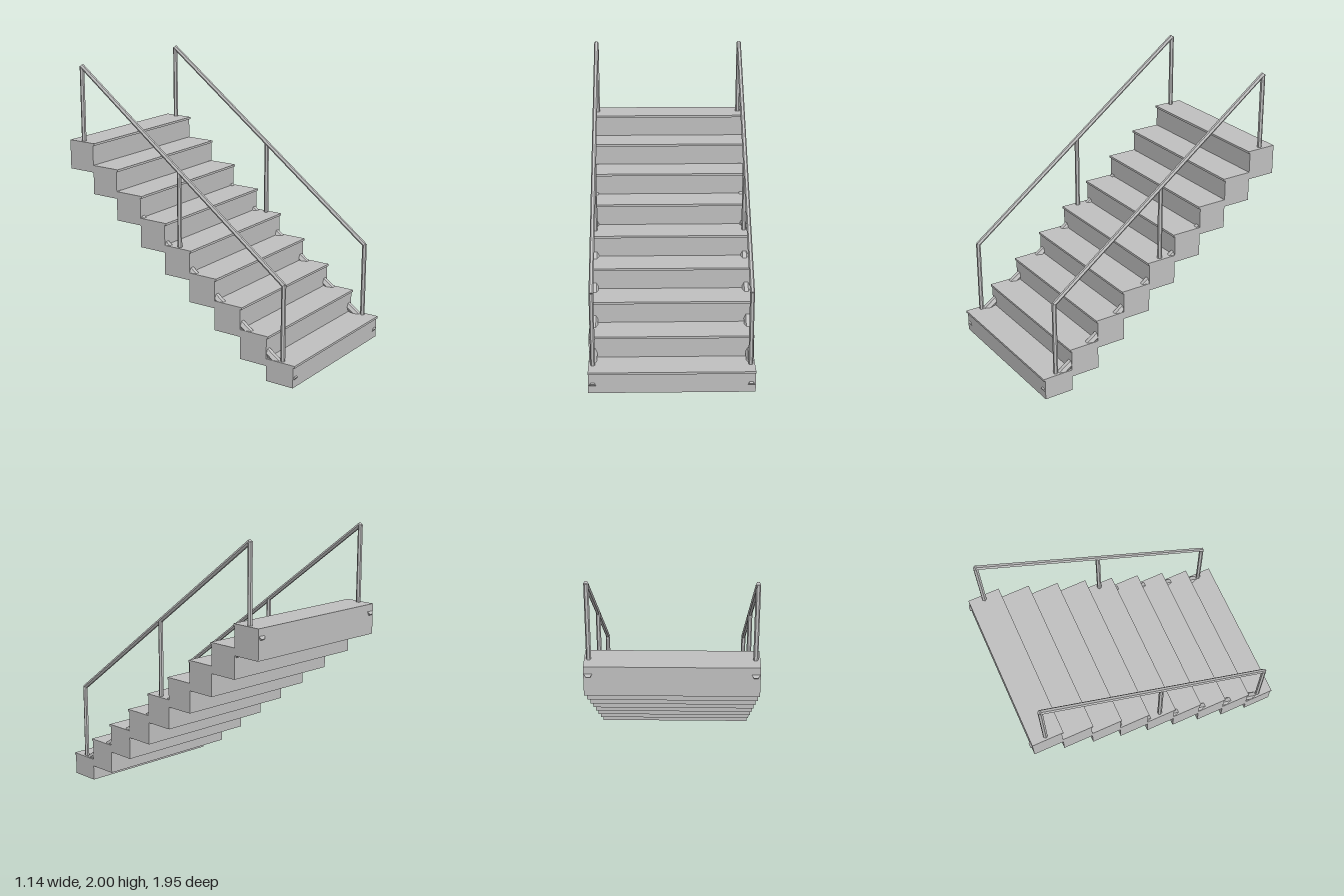
import * as THREE from 'three';

const STEPS = 9, RUN = 0.2135, RISE = 0.1605, WIDTH = 1.14, FRONT = 0.96;
const LIP = 0.016, NOSE = 0.012, SIDE_X = 0.54;

export function createModel() {
  const model = new THREE.Group();
  model.name = 'staircase';
  const grey = new THREE.MeshStandardMaterial({ color: 0xc0c0c0 });
  grey.name = 'grey';

  const add = (parent, name, geometry) => {
    const mesh = new THREE.Mesh(geometry, grey);
    mesh.name = name;
    parent.add(mesh);
    return mesh;
  };

  // Box given by its y and z limits, spanning the full width
  const slab = (parent, name, y0, y1, z0, z1) =>
    add(parent, name, new THREE.BoxGeometry(WIDTH, y1 - y0, z1 - z0))
      .position.set(0, (y0 + y1) / 2, (z0 + z1) / 2);

  // Six-sided bar between two [y, z] points, with corners pointing sideways
  const bar = (parent, name, x, [y0, z0], [y1, z1], radius) => {
    const length = Math.hypot(y1 - y0, z1 - z0);
    const geometry = new THREE.CylinderGeometry(radius, radius, length, 6, 1, false, Math.PI / 6).toNonIndexed();
    geometry.computeVertexNormals();
    const mesh = add(parent, name, geometry);
    mesh.position.set(x, (y0 + y1) / 2, (z0 + z1) / 2);
    mesh.rotation.x = Math.atan2(z1 - z0, y1 - y0);
  };

  // Steps: a solid block with a thin overhanging tread
  for (let i = 0; i < STEPS; i++) {
    const step = new THREE.Group();
    step.name = `step${i + 1}`;
    const top = (i + 1) * RISE;
    const front = FRONT - i * RUN, back = front - RUN;
    slab(step, 'block', Math.max(0, top - 0.213), top - LIP, back, front);
    slab(step, 'tread', top - LIP, top, back, front + NOSE);
    model.add(step);
  }

  // Each side: sloping stringer through the steps, three posts and a handrail
  for (const side of [-1, 1]) {
    const x = side * SIDE_X;
    const rail = new THREE.Group();
    rail.name = side > 0 ? 'leftSide' : 'rightSide';
    bar(rail, 'stringer', x, [0.05, 0.956], [1.395, -0.961], 0.028);
    bar(rail, 'handrail', x, [0.696, 0.862], [1.987, -0.857], 0.0165);
    for (const [base, top, z] of [[0.15, 0.7, 0.86], [0.79, 1.345, 0.002], [1.435, 1.985, -0.855]]) {
      bar(rail, 'post', x, [base, z], [top, z], 0.0165);
    }
    model.add(rail);
  }
  return model;
}
